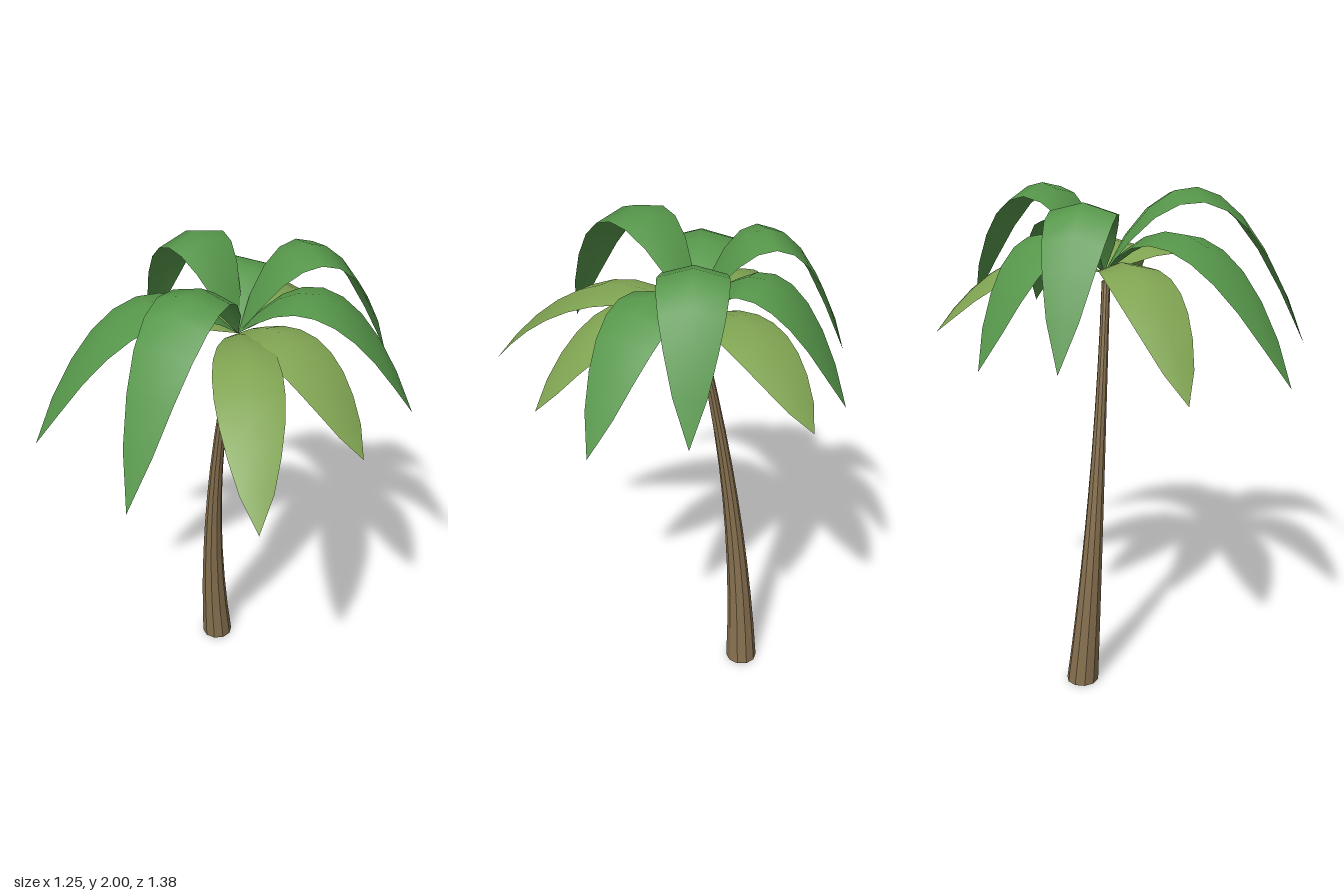
import * as THREE from 'three';

const ROOT = new THREE.Vector3(-0.035, 1.68, -0.08);
const HALF_WIDTH = 0.127;
const RIDGE_DROP = 0.28;

// Leaning trunk: a cylinder bent along a curve and flared at the foot
function trunkGeometry() {
  const height = 1.65;
  const geo = new THREE.CylinderGeometry(1, 1, height, 10, 10);
  const p = geo.attributes.position;
  for (let i = 0; i < p.count; i++) {
    const s = p.getY(i) / height + 0.5;
    const r = 0.017 + 0.048 * Math.pow(1 - s, 1.7);
    const x = -0.238 + 0.198 * s * s;
    const z = -0.145 + 0.073 * (1 - (1 - s) ** 2);
    p.setXYZ(i, x + p.getX(i) * r, s * height, z + p.getZ(i) * r);
  }
  geo.computeVertexNormals();
  return geo;
}

// Frond: an arched leaf with a raised midrib, from the crown to its tip
function frondGeometry(tipX, tipY, tipZ, peak) {
  const segments = 9;
  const dx = tipX - ROOT.x, dz = tipZ - ROOT.z;
  const length = Math.hypot(dx, dz);
  const sideX = dz / length, sideZ = -dx / length;

  // parabola through the root and tip that reaches the peak height
  const rise = peak - ROOT.y, drop = ROOT.y - tipY;
  const a = 2 * rise + Math.sqrt(4 * rise * rise + 4 * rise * drop);
  const b = a + drop;

  const points = [], index = [];
  for (let i = 0; i <= segments; i++) {
    const t = i / segments;
    const w = HALF_WIDTH * Math.pow(Math.max(0, Math.sin(Math.PI * t)), 0.7);
    const y = ROOT.y + a * t - b * t * t;
    for (const side of [-1, 0, 1]) {
      points.push(
        ROOT.x + dx * t + sideX * w * side,
        y - RIDGE_DROP * w * Math.abs(side),
        ROOT.z + dz * t + sideZ * w * side
      );
    }
    if (i === segments) break;
    for (let j = 0; j < 2; j++) {
      const k = i * 3 + j;
      if (i > 0) index.push(k, k + 1, k + 3);
      else index.push(1, k + 4, k + 3);
      if (i > 0 && i < segments - 1) index.push(k + 1, k + 4, k + 3);
      else if (i === segments - 1) index.pop(), index.push(segments * 3 + 1);
    }
  }
  const geo = new THREE.BufferGeometry();
  geo.setAttribute('position', new THREE.Float32BufferAttribute(points, 3));
  // leaf faces look upward
  for (let i = 0; i < index.length; i += 3) {
    const [p, q, r] = [0, 1, 2].map(n => new THREE.Vector3().fromArray(points, index[i + n] * 3));
    if (q.sub(p).cross(r.sub(p)).y < 0) [index[i + 1], index[i + 2]] = [index[i + 2], index[i + 1]];
  }
  geo.setIndex(index);
  geo.computeVertexNormals();
  return geo;
}

export function createModel() {
  const palm = new THREE.Group();
  palm.name = 'palmTree';

  const bark = new THREE.MeshStandardMaterial({ color: 0x86704f, flatShading: true });
  bark.name = 'bark brown';
  const green = new THREE.MeshStandardMaterial({ color: 0x56964a, side: THREE.DoubleSide });
  green.name = 'leaf green';
  const lightGreen = new THREE.MeshStandardMaterial({ color: 0x80a452, side: THREE.DoubleSide });
  lightGreen.name = 'light leaf green';

  const trunk = new THREE.Mesh(trunkGeometry(), bark);
  trunk.name = 'trunk';
  palm.add(trunk);

  // tip x, y, z of the fronds in each tier
  const tiers = [
    { name: 'upperFrond', peak: 2.0, material: green,
      tips: [[0.22, 1.36, 0.685], [-0.625, 1.46, -0.14], [0.2, 1.49, -0.66]] },
    { name: 'middleFrond', peak: 1.875, material: green,
      tips: [[-0.35, 1.36, 0.66], [-0.485, 1.41, -0.465], [0.51, 1.41, -0.48]] },
    { name: 'lowerFrond', peak: 1.765, material: lightGreen,
      tips: [[0.62, 1.36, 0.43], [-0.62, 1.37, 0.32], [-0.25, 1.48, -0.69], [0.6, 1.41, -0.11]] }
  ];
  const crown = new THREE.Group();
  crown.name = 'crown';
  for (const tier of tiers) {
    tier.tips.forEach(([x, y, z], i) => {
      const frond = new THREE.Mesh(frondGeometry(x, y, z, tier.peak), tier.material);
      frond.name = tier.name + (i + 1);
      crown.add(frond);
    });
  }
  palm.add(crown);
  return palm;
}
